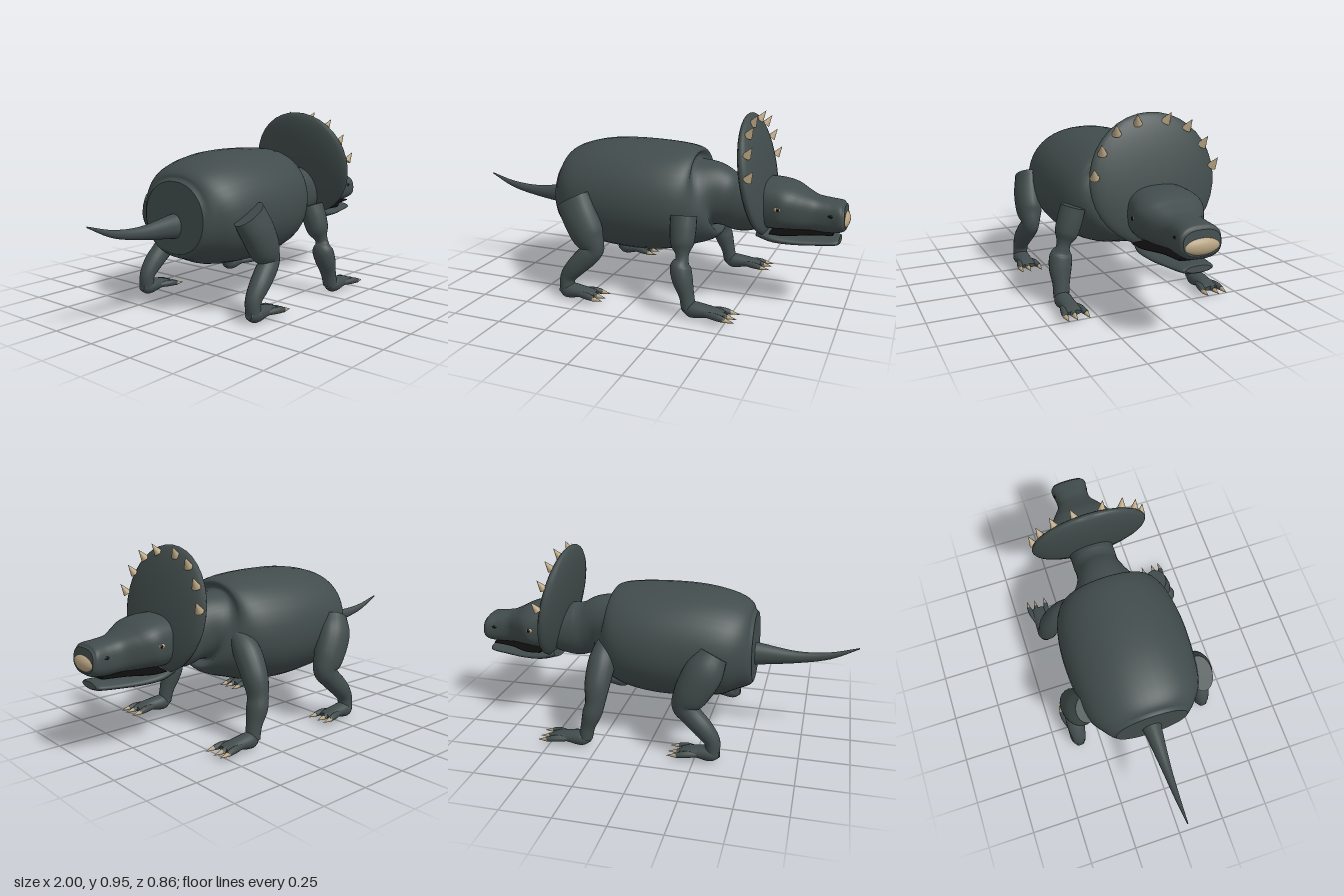
import * as THREE from 'three';

const mat = (name, color) => Object.assign(new THREE.MeshStandardMaterial({ color }), { name });
const hide = mat('slate hide', 0x424c4c);
const horn = mat('tan horn', 0xb8a482);
const dark = mat('black', 0x0c0c0c);

// Smooth skin through sections [x, y, z, height radius, width radius]; power < 1 makes it boxier
function loft(sections, { power = 1, sides = 28, steps = 6 } = {}) {
  const path = new THREE.CatmullRomCurve3(sections.map(s => new THREE.Vector3(s[0], s[1], s[2])), false, 'catmullrom');
  const radii = new THREE.CatmullRomCurve3(sections.map(s => new THREE.Vector3(s[3], s[4], 0)), false, 'catmullrom');
  const n = (sections.length - 1) * steps;
  const pos = [], idx = [];
  const soft = v => Math.sign(v) * Math.abs(v) ** power;
  for (let i = 0; i <= n; i++) {
    const c = path.getPoint(i / n), r = radii.getPoint(i / n);
    const t = path.getPoint(Math.min(1, (i + 1) / n)).sub(path.getPoint(Math.max(0, (i - 1) / n))).normalize();
    const s = new THREE.Vector3(0, 0, 1).addScaledVector(t, -t.z).normalize();
    const u = s.clone().cross(t);
    for (let j = 0; j < sides; j++) {
      const a = j / sides * Math.PI * 2;
      const p = c.clone().addScaledVector(u, soft(Math.cos(a)) * r.x).addScaledVector(s, soft(Math.sin(a)) * r.y);
      pos.push(p.x, p.y, p.z);
    }
  }
  for (let i = 0; i < n; i++) for (let j = 0; j < sides; j++) {
    const k = (j + 1) % sides, a = i * sides, b = a + sides;
    idx.push(a + j, a + k, b + j, a + k, b + k, b + j);
  }
  // flat end caps with their own vertices
  for (const end of [0, n]) {
    const c = path.getPoint(end / n), base = pos.length / 3;
    pos.push(...pos.slice(end * sides * 3, (end + 1) * sides * 3), c.x, c.y, c.z);
    for (let j = 0; j < sides; j++) {
      const k = (j + 1) % sides;
      idx.push(base + sides, base + (end ? j : k), base + (end ? k : j));
    }
  }
  const g = new THREE.BufferGeometry();
  g.setAttribute('position', new THREE.Float32BufferAttribute(pos, 3));
  g.setIndex(idx);
  g.computeVertexNormals();
  return g;
}

export function createModel() {
  const model = new THREE.Group();
  const add = (name, geometry, material, parent = model) => {
    const m = new THREE.Mesh(geometry, material);
    m.name = name;
    parent.add(m);
    return m;
  };
  const ellipsoid = (name, material, [x, y, z], [a, b, c]) => {
    const m = add(name, new THREE.SphereGeometry(1, 28, 18), material);
    m.position.set(x, y, z);
    m.scale.set(a, b, c);
    return m;
  };
  const spike = (name, base, dir, length, radius, parent) => {
    const d = new THREE.Vector3(...dir).normalize();
    const m = add(name, new THREE.ConeGeometry(radius, length, 12), horn, parent);
    m.position.set(...base).addScaledVector(d, length / 2);
    m.quaternion.setFromUnitVectors(new THREE.Vector3(0, 1, 0), d);
  };

  // Barrel body with neck, and tail
  add('body', loft([
    [-0.49, 0.48, 0, 0.175, 0.19], [-0.45, 0.48, 0, 0.21, 0.235], [-0.36, 0.488, 0, 0.255, 0.295],
    [-0.2, 0.494, 0, 0.281, 0.322], [0, 0.494, 0, 0.284, 0.328], [0.17, 0.504, 0, 0.264, 0.3],
    [0.27, 0.505, 0, 0.23, 0.235], [0.33, 0.52, 0, 0.17, 0.145], [0.4, 0.507, 0, 0.14, 0.12],
    [0.47, 0.495, 0, 0.145, 0.12], [0.56, 0.5, 0, 0.13, 0.12],
  ], { sides: 40, power: 0.95 }), hide);
  add('tail', loft([
    [-0.45, 0.44, 0, 0.066, 0.058], [-0.52, 0.44, 0, 0.056, 0.046], [-0.7, 0.44, 0, 0.031, 0.026],
    [-0.86, 0.463, 0, 0.018, 0.014], [-1, 0.515, 0, 0.003, 0.003],
  ]), hide);

  // Head
  add('skull', loft([
    [0.56, 0.515, 0, 0.12, 0.15], [0.64, 0.514, 0, 0.12, 0.163], [0.7, 0.508, 0, 0.114, 0.168],
    [0.76, 0.494, 0, 0.1, 0.14], [0.83, 0.481, 0, 0.085, 0.098], [0.9, 0.475, 0, 0.081, 0.092],
    [0.96, 0.475, 0, 0.073, 0.1], [0.982, 0.477, 0, 0.055, 0.088],
  ], { power: 0.75, sides: 36 }), hide);
  add('lowerJaw', loft([
    [0.57, 0.375, 0, 0.036, 0.11], [0.65, 0.357, 0, 0.034, 0.128], [0.75, 0.349, 0, 0.027, 0.118],
    [0.86, 0.35, 0, 0.022, 0.095], [0.94, 0.355, 0, 0.02, 0.08], [0.96, 0.358, 0, 0.014, 0.06],
  ]), hide);
  add('mouth', loft([
    [0.64, 0.39, 0, 0.009, 0.145], [0.72, 0.39, 0, 0.009, 0.145], [0.82, 0.392, 0, 0.009, 0.095],
    [0.93, 0.397, 0, 0.008, 0.08],
  ]), dark);
  ellipsoid('beak', horn, [0.965, 0.46, 0], [0.035, 0.042, 0.095]);
  for (const s of [1, -1]) {
    ellipsoid('eye', horn, [0.68, 0.52, s * 0.161], [0.019, 0.014, 0.011]);
    ellipsoid('pupil', dark, [0.683, 0.52, s * 0.169], [0.008, 0.009, 0.006]);
    ellipsoid('nostril', dark, [0.92, 0.492, s * 0.09], [0.016, 0.008, 0.006]);
  }

  // Tilted neck frill with its row of spikes
  ellipsoid('frill', hide, [0.548, 0.648, 0], [0.055, 0.302, 0.313]).rotation.z = 0.19;
  for (const s of [1, -1])
    for (const [y, z] of [[0.9, 0.07], [0.862, 0.175], [0.782, 0.25], [0.682, 0.295]])
      spike('frillSpike', [0.694 - 0.19 * y, y, s * z], [0.5, 0.8, s * 0.25], 0.058, 0.022);

  // Legs: the left-hand limbs have blocky upper parts, the others blend smoothly
  const frontShin = [[0.265, 0.24, 0.345, 0.05, 0.055], [0.28, 0.18, 0.355, 0.049, 0.055],
    [0.302, 0.11, 0.36, 0.037, 0.042], [0.315, 0.045, 0.365, 0.035, 0.038]];
  const hindShin = [[-0.225, 0.235, 0.352, 0.055, 0.05], [-0.29, 0.17, 0.36, 0.05, 0.048],
    [-0.335, 0.11, 0.362, 0.04, 0.04], [-0.34, 0.045, 0.365, 0.036, 0.038]];
  const uppers = {
    front: {
      1: [[0.255, 0.475, 0.275, 0.065, 0.06], [0.258, 0.41, 0.295, 0.064, 0.062], [0.262, 0.345, 0.315, 0.056, 0.056],
        [0.268, 0.305, 0.33, 0.034, 0.036], [0.27, 0.275, 0.338, 0.032, 0.036]],
      '-1': [[0.25, 0.5, 0.19, 0.05, 0.05], [0.252, 0.43, 0.255, 0.068, 0.068], [0.26, 0.33, 0.318, 0.064, 0.064]],
    },
    hind: {
      1: [[-0.32, 0.512, 0.32, 0.095, 0.06], [-0.27, 0.42, 0.335, 0.093, 0.07], [-0.225, 0.335, 0.342, 0.085, 0.066],
        [-0.19, 0.275, 0.347, 0.05, 0.046]],
      '-1': [[-0.32, 0.53, 0.29, 0.07, 0.06], [-0.28, 0.45, 0.325, 0.095, 0.075], [-0.225, 0.345, 0.343, 0.088, 0.07],
        [-0.195, 0.28, 0.348, 0.066, 0.056]],
    },
  };
  const flip = (list, s) => list.map(([x, y, z, a, b]) => [x, y, z * s, a, b]);
  for (const [kind, shin, heel, length] of [['front', frontShin, 0.29, 0.22], ['hind', hindShin, -0.375, 0.21]]) {
    for (const s of [1, -1]) {
      const leg = new THREE.Group();
      leg.name = kind + 'Leg';
      model.add(leg);
      add('limb', loft(flip([...uppers[kind][s], ...shin], s), { sides: 20 }), hide, leg);
      // foot, toes and claws
      const at = t => heel + t * length;
      add('foot', loft(flip([
        [at(0), 0.045, 0.365, 0.02, 0.02], [at(0.2), 0.042, 0.365, 0.04, 0.042],
        [at(0.55), 0.044, 0.366, 0.029, 0.04], [at(0.8), 0.04, 0.366, 0.02, 0.045],
        [at(0.92), 0.038, 0.366, 0.012, 0.035],
      ], s), { sides: 20 }), hide, leg);
      for (const dz of [-0.052, 0.008, 0.05]) {
        const z = 0.366 + dz;
        add('toe', loft(flip([
          [at(0.5), 0.04, 0.366 + dz * 0.5, 0.014, 0.014], [at(0.8), 0.04, z - dz * 0.15, 0.017, 0.016],
          [at(1), 0.035, z, 0.012, 0.012],
        ], s), { sides: 12 }), hide, leg);
        spike('claw', [at(0.97), 0.035, s * z], [1, -0.12, 0], 0.055, 0.013, leg);
      }
    }
  }
  return model;
}
